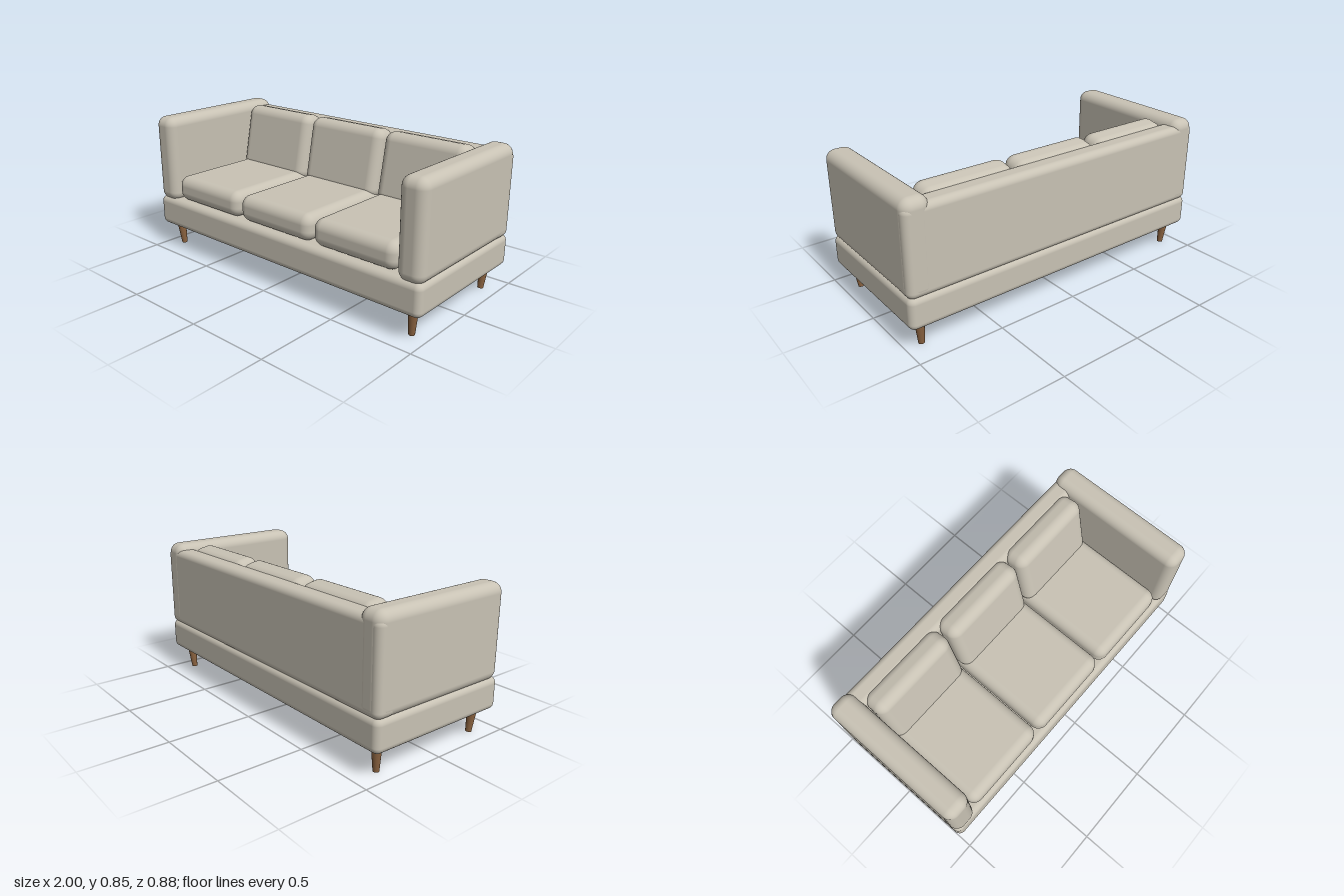
import * as THREE from 'three';
import { RoundedBoxGeometry } from 'three/addons/geometries/RoundedBoxGeometry.js';

export function createModel() {
  const sofa = new THREE.Group();
  sofa.name = 'sofa';

  const fabric = new THREE.MeshStandardMaterial({ color: 0xc8c2b4 });
  fabric.name = 'fabric';
  const wood = new THREE.MeshStandardMaterial({ color: 0x8b6340 });
  wood.name = 'wood';

  // Upholstered block given by its minimum and maximum corners
  function block(name, [x0, y0, z0], [x1, y1, z1], radius) {
    const geometry = new RoundedBoxGeometry(x1 - x0, y1 - y0, z1 - z0, 6, radius);
    const mesh = new THREE.Mesh(geometry, fabric);
    mesh.name = name;
    mesh.position.set((x0 + x1) / 2, (y0 + y1) / 2, (z0 + z1) / 2);
    sofa.add(mesh);
    return mesh;
  }

  // Frame
  block('base', [-1, 0.143, -0.44], [1, 0.332, 0.44], 0.038);
  block('backrest', [-0.999, 0.318, -0.439], [0.999, 0.815, -0.31], 0.04);
  block('leftArm', [0.843, 0.312, -0.44], [1, 0.85, 0.44], 0.057);
  block('rightArm', [-1, 0.312, -0.44], [-0.843, 0.85, 0.44], 0.057);

  // Three seat cushions, each with a back cushion leaning on the backrest
  ['right', 'middle', 'left'].forEach((side, i) => {
    const x = (i - 1) * 0.562;
    block(side + 'SeatCushion', [x - 0.274, 0.33, -0.33], [x + 0.274, 0.488, 0.42], 0.06);
    const back = block(side + 'BackCushion',
      [x - 0.274, 0.419, -0.325], [x + 0.274, 0.839, -0.165], 0.06);
    back.rotation.x = -0.2;
  });

  // Tapered legs, slightly tilted inwards towards the floor
  const legGeometry = new THREE.CylinderGeometry(0.029, 0.017, 0.16, 24);
  for (const sx of [-1, 1]) {
    for (const sz of [-1, 1]) {
      const leg = new THREE.Mesh(legGeometry, wood);
      leg.name = (sz > 0 ? 'front' : 'back') + (sx > 0 ? 'Left' : 'Right') + 'Leg';
      leg.position.set(sx * 0.907, 0.081, sz * 0.351);
      leg.rotation.set(sz * 0.06, 0, -sx * 0.06);
      sofa.add(leg);
    }
  }

  return sofa;
}
